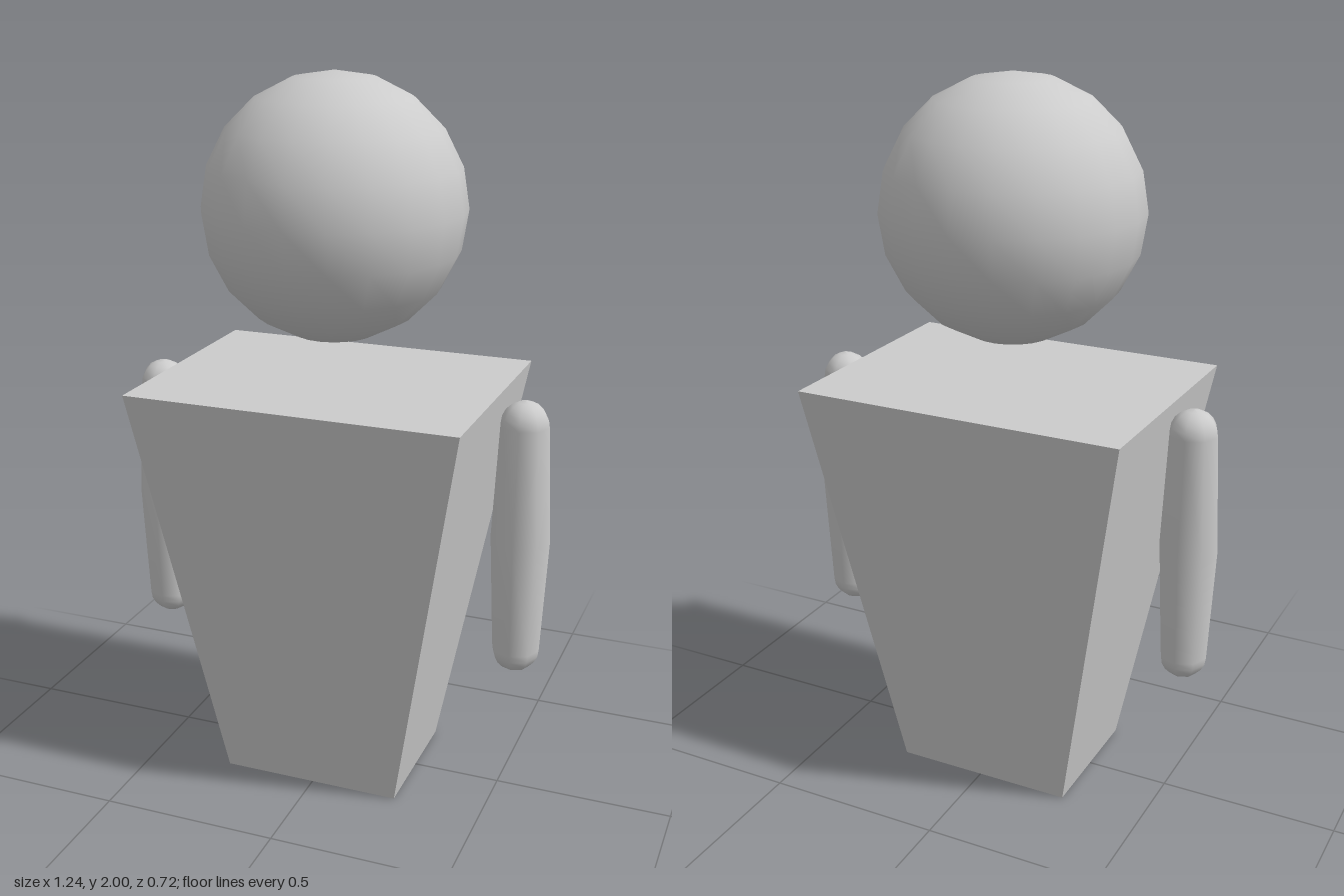
import * as THREE from 'three';

export function createModel() {
  const group = new THREE.Group();
  const material = new THREE.MeshStandardMaterial({ color: 0xcccccc });
  const add = (name, geometry, x, y) => {
    const mesh = new THREE.Mesh(geometry, material);
    mesh.name = name;
    mesh.position.set(x, y, 0);
    group.add(mesh);
  };

  // Torso: a box whose bottom is narrowed
  const height = 1.17;
  const torso = new THREE.BoxGeometry(0.935, height, 0.714);
  const p = torso.attributes.position;
  for (let i = 0; i < p.count; i++) {
    if (p.getY(i) < 0) p.setXYZ(i, p.getX(i) * 0.55, p.getY(i), p.getZ(i) * 0.55);
  }
  torso.computeVertexNormals();
  add('torso', torso, -0.007, height / 2);

  // Floating head
  add('head', new THREE.SphereGeometry(0.358, 20, 10), -0.007, 1.642);

  // Arms: eight-sided capsules, thickest in the middle
  const capRadius = 0.067, capY = 0.328, capSteps = 5;
  const upper = [];
  for (let i = 0; i <= capSteps; i++) {
    const a = (i / capSteps) * Math.PI / 2;
    upper.push(new THREE.Vector2(i === capSteps ? 0 : capRadius * Math.cos(a), capY + capRadius * Math.sin(a)));
  }
  const lower = upper.map((v) => new THREE.Vector2(v.x, -v.y)).reverse();
  const arm = new THREE.LatheGeometry([...lower, new THREE.Vector2(0.083, 0), ...upper], 8);
  add('leftArm', arm, 0.536, 0.77);
  add('rightArm', arm, -0.538, 0.77);

  return group;
}
